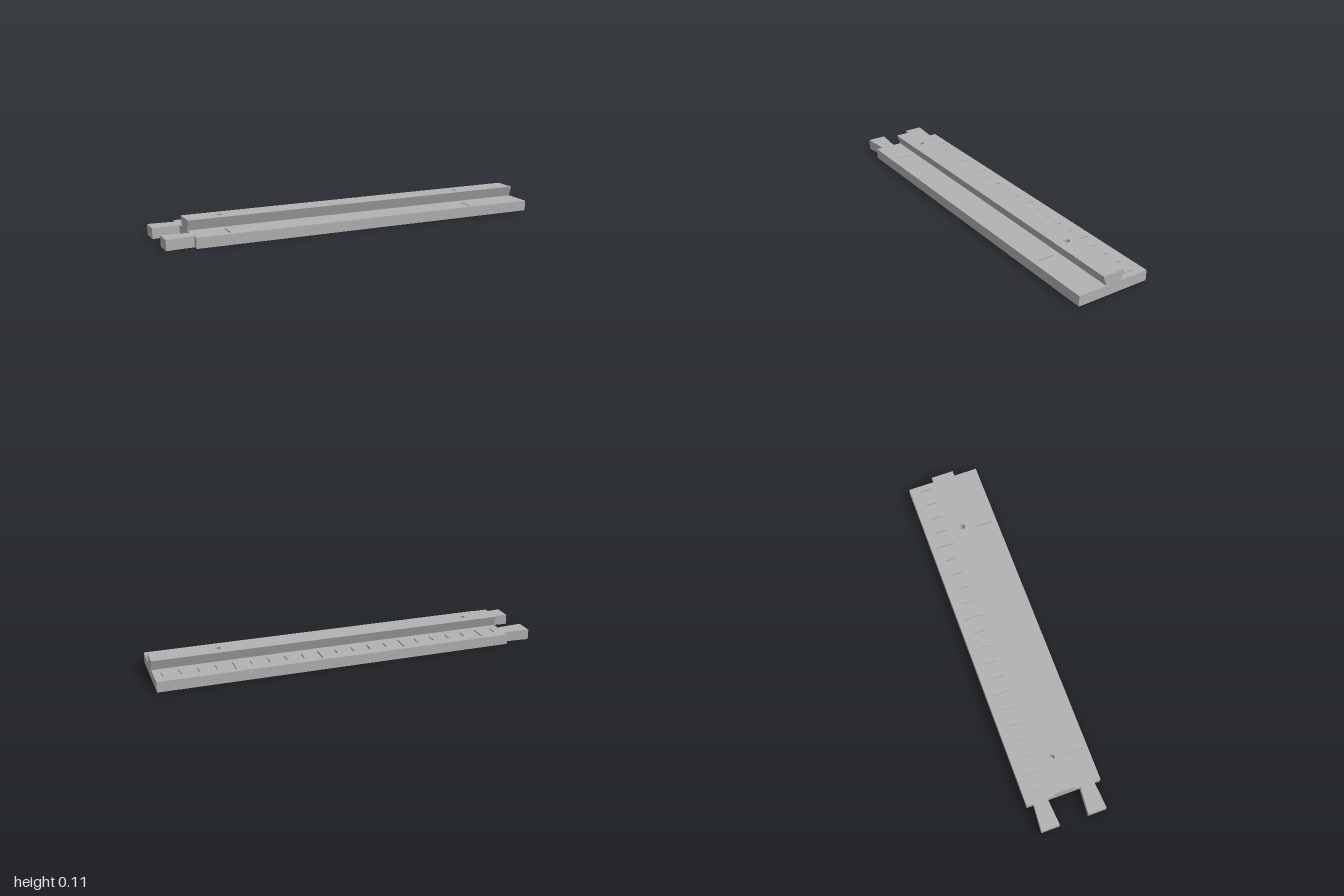
import * as THREE from 'three';

const BASE_H = 0.054, RAIL_H = 0.107, ENGRAVE = 0.01;
const X0 = -0.86, X1 = 1, HALF_W = 0.195;
const HOLES_X = [-0.685, 0.66];

// Plan shapes use (x, -z); extruded upwards from y0 to y1.
function extrudeUp(shape, y0, y1) {
  const geo = new THREE.ExtrudeGeometry(shape, { depth: y1 - y0, bevelEnabled: false, curveSegments: 10 });
  geo.rotateX(-Math.PI / 2);
  geo.translate(0, y0, 0);
  return geo;
}

function polygon(points, Type = THREE.Shape) {
  return new Type(points.map(([x, z]) => new THREE.Vector2(x, -z)));
}

function rect(xa, xb, za, zb, Type) {
  return polygon([[xa, zb], [xb, zb], [xb, za], [xa, za]], Type);
}

// Narrow groove centred on x, running along z.
function groove(x, za, zb) {
  return rect(x - 0.004, x + 0.004, za, zb, THREE.Path);
}

export function createModel() {
  const group = new THREE.Group();
  const grey = new THREE.MeshStandardMaterial({ color: 0xb2b2b2 });
  grey.name = 'plain grey';
  const add = (name, geo) => {
    const mesh = new THREE.Mesh(geo, grey);
    mesh.name = name;
    group.add(mesh);
    return mesh;
  };

  // Base plate: solid lower slab and an engraved top layer
  const layerY = BASE_H - ENGRAVE;
  add('baseSlab', extrudeUp(rect(X0, X1, -HALF_W, HALF_W), 0, layerY));

  const topLayer = rect(X0, X1, -HALF_W, HALF_W);
  // Scale along the back, every fifth mark longer
  for (let i = 0; i <= 20; i++) {
    const long = i % 5 === 4;
    topLayer.holes.push(groove(0.962 - i * 0.0885, long ? -0.17 : -0.14, long ? -0.075 : -0.085));
  }
  // Two reference marks along the front, in line with the rail holes
  for (const x of HOLES_X) topLayer.holes.push(groove(x, 0.08, 0.165));
  add('engravedTop', extrudeUp(topLayer, layerY, BASE_H));

  // Dovetail connector tabs, mirrored front and back
  for (const s of [1, -1]) {
    const tab = polygon([[X0, s * 0.086], [-1, s * 0.075], [-1, s * 0.171], [X0, s * 0.16]]);
    add(s > 0 ? 'frontTab' : 'backTab', extrudeUp(tab, 0, BASE_H));
  }

  // Dovetail rail with screw holes: lower edge pulled inwards
  const railPlan = rect(X0, X1, -0.061, 0.061);
  for (const x of HOLES_X) {
    const hole = new THREE.Path();
    hole.absarc(x, 0, 0.015, 0, Math.PI * 2, true);
    railPlan.holes.push(hole);
  }
  const rail = extrudeUp(railPlan, BASE_H, RAIL_H);
  const pos = rail.attributes.position;
  for (let i = 0; i < pos.count; i++) {
    const z = pos.getZ(i);
    if (Math.abs(z) > 0.05 && pos.getY(i) < BASE_H + 0.01) pos.setZ(i, Math.sign(z) * 0.043);
  }
  rail.computeVertexNormals();
  add('dovetailRail', rail);

  return group;
}
